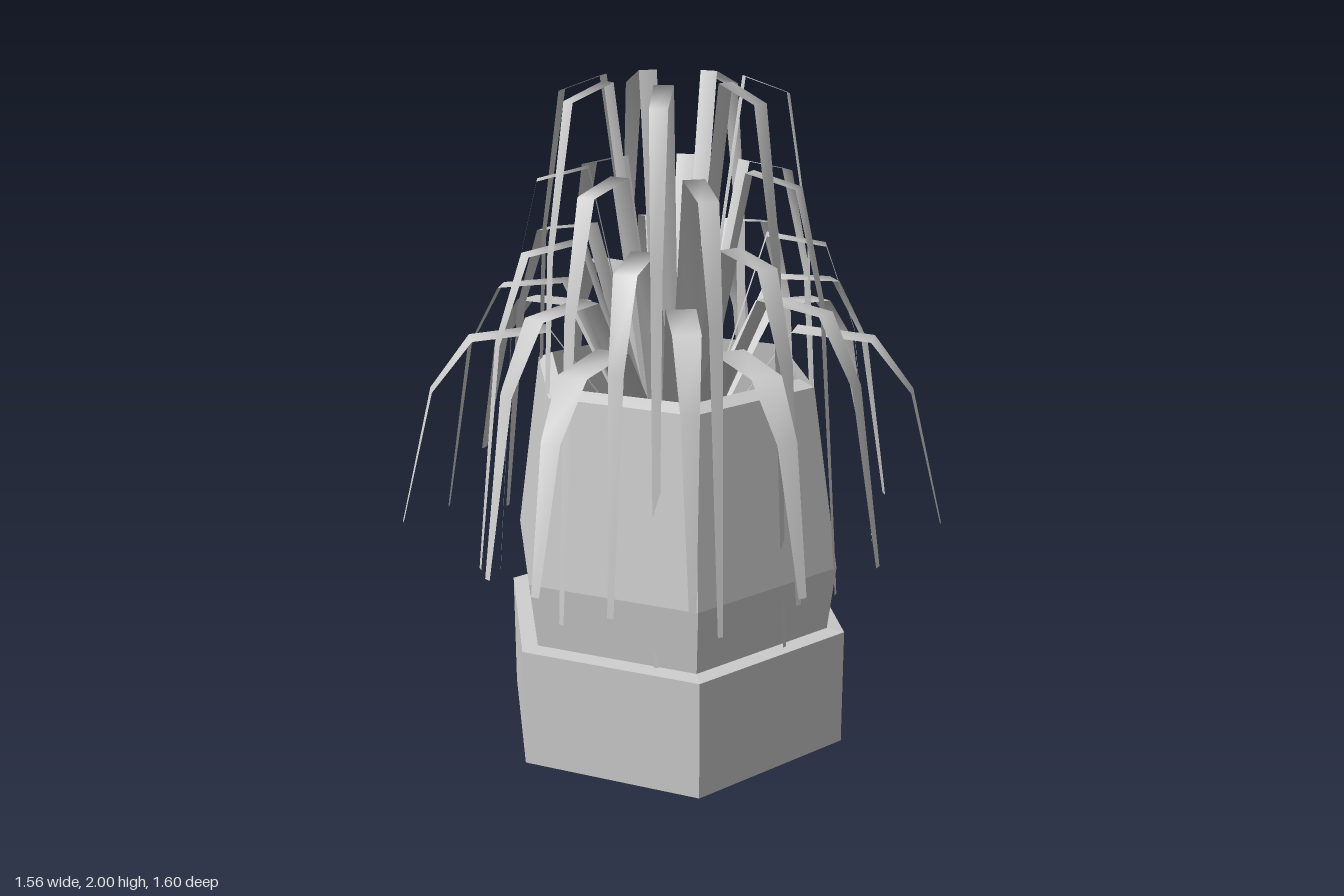
import * as THREE from 'three';

const potMaterial = new THREE.MeshStandardMaterial({ color: 0xcccccc, flatShading: true, side: THREE.DoubleSide });
const leafMaterial = new THREE.MeshStandardMaterial({ color: 0xcccccc, side: THREE.DoubleSide });

// Six-sided shell turned from a profile of [radius, height], corners on the x axis
function hexShell(name, profile) {
  const points = profile.map(([r, y]) => new THREE.Vector2(r, y));
  const mesh = new THREE.Mesh(new THREE.LatheGeometry(points, 6, Math.PI / 2), potMaterial);
  mesh.name = name;
  return mesh;
}

// One drooping leaf: rows of [reach, height, half width], from the root to the tip
const leafRows = [
  [0, 0, 0],
  [0.1, 0, 0.048],
  [0.37, 0.387, 0.05],
  [0.6, 0.37, 0.046],
  [0.72, 0.22, 0.03],
  [0.82, -0.183, 0.012],
];

function leafGeometry() {
  const positions = [];
  const index = [];
  leafRows.forEach(([r, y, w], i) => {
    positions.push(r, y, -w, r, y, w);
    if (i > 0) {
      const a = 2 * (i - 1);
      index.push(a, a + 1, a + 3, a, a + 3, a + 2);
    }
  });
  const geometry = new THREE.BufferGeometry();
  geometry.setAttribute('position', new THREE.Float32BufferAttribute(positions, 3));
  geometry.setIndex(index);
  geometry.computeVertexNormals();
  return geometry;
}

export function createModel() {
  const model = new THREE.Group();
  model.name = 'pottedPlant';

  // Open base with a narrow ledge
  model.add(hexShell('base', [[0.56, 0], [0.56, 0.365], [0.505, 0.37]]));

  // Pot: outer wall, rim and inner wall
  model.add(hexShell('pot', [
    [0.505, 0.37], [0.53, 0.57], [0.447, 1.125], [0.4, 1.145], [0.475, 0.57], [0.5, 0.37],
  ]));

  // Five tiers of seven leaves, each tier taller, narrower and turned further
  const plant = new THREE.Group();
  plant.name = 'leaves';
  plant.position.y = 0.893;
  const count = 7;
  const step = (Math.PI * 2) / count;
  for (let tier = 0; tier < 5; tier++) {
    const ring = new THREE.Group();
    ring.name = `leafTier${tier + 1}`;
    const spread = Math.pow(0.867, tier);
    const geometry = leafGeometry().scale(spread, Math.pow(1.3, tier), spread);
    geometry.computeVertexNormals();
    for (let i = 0; i < count; i++) {
      const leaf = new THREE.Mesh(geometry, leafMaterial);
      leaf.name = 'leaf';
      leaf.rotation.y = -(i + 0.4 * tier) * step;
      ring.add(leaf);
    }
    plant.add(ring);
  }
  model.add(plant);

  // Centre the uneven leaf spread on the origin
  model.children.forEach((part) => { part.position.x = -0.04; });
  return model;
}
